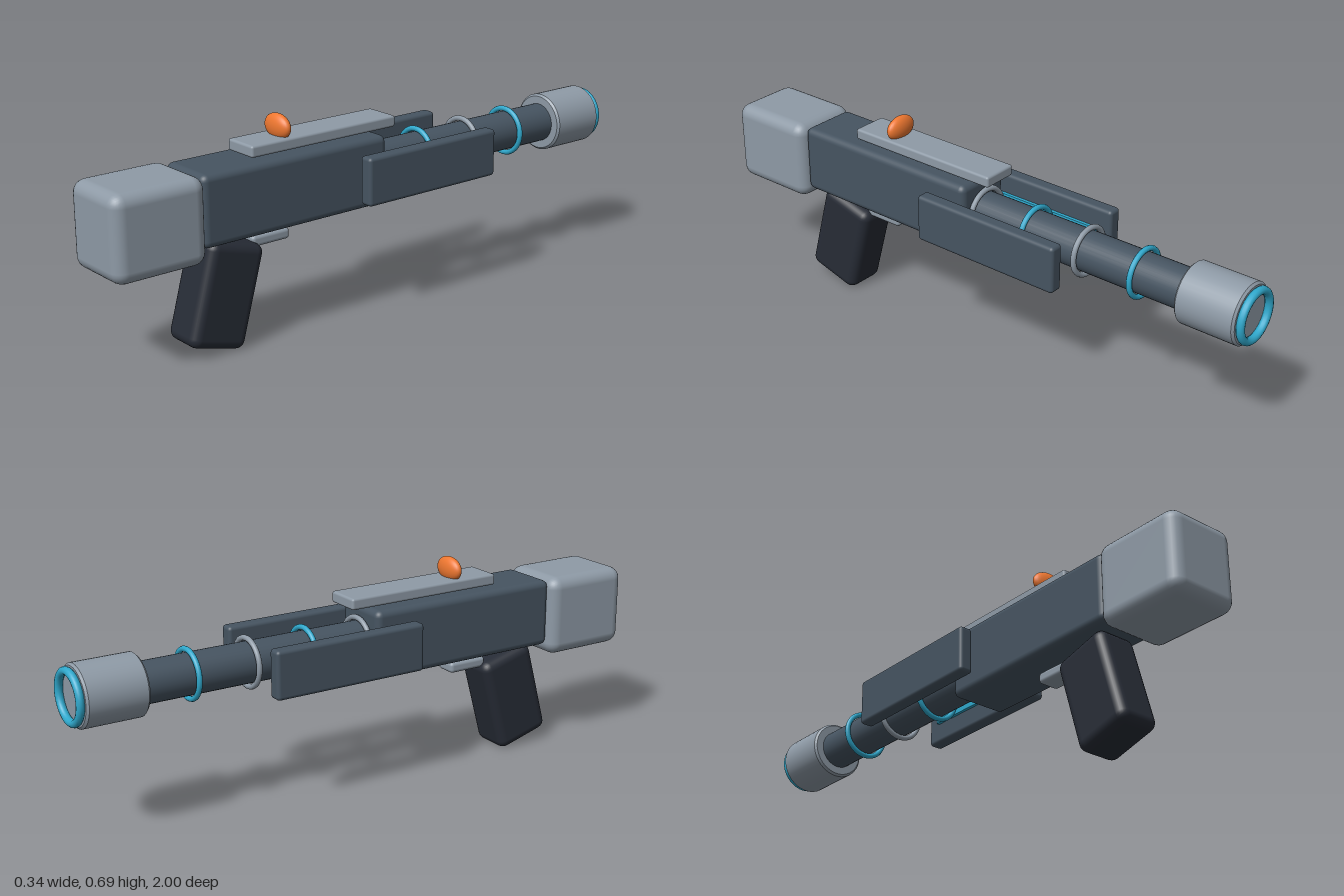
import * as THREE from 'three';
import { RoundedBoxGeometry } from 'three/addons/geometries/RoundedBoxGeometry.js';

const paint = (color) => new THREE.MeshStandardMaterial({ color });

export function createModel() {
  const model = new THREE.Group();
  model.name = 'blaster';
  const dark = paint(0x465461), grey = paint(0x8e9aa6), black = paint(0x272c36);
  const cyan = paint(0x2fa8cc), orange = paint(0xee7730);
  const axisY = 0.467;

  function add(name, geometry, material, x, y, z) {
    const mesh = new THREE.Mesh(geometry, material);
    mesh.name = name;
    mesh.position.set(x, y, z);
    model.add(mesh);
    return mesh;
  }
  const box = (w, h, d, r) => new RoundedBoxGeometry(w, h, d, 3, r);

  // Stock, body and tilted grip
  add('stock', box(0.246, 0.268, 0.31, 0.04), grey, 0, 0.453, 0.845);
  add('body', box(0.2, 0.224, 0.69, 0.022), dark, 0, 0.469, 0.347);
  add('grip', box(0.146, 0.33, 0.2, 0.03), black, 0, 0.18, 0.59).rotation.x = -0.27;
  add('trigger', box(0.075, 0.036, 0.14, 0.012), grey, 0, 0.318, 0.408);

  // Top rail with its sight bead
  add('topRail', box(0.122, 0.037, 0.556, 0.008), grey, 0, 0.606, 0.213);
  add('sightBead', new THREE.SphereGeometry(1, 32, 20), orange, 0, 0.65, 0.35)
    .scale.set(0.058, 0.04, 0.024);

  // Barrel
  const barrel = new THREE.CylinderGeometry(0.065, 0.065, 0.88, 32).rotateX(Math.PI / 2);
  add('barrel', barrel, dark, 0, axisY, -0.38);

  // Muzzle with softened rims, its profile running along the barrel
  const profile = [[0, -0.1], [0.091, -0.1], [0.091, -0.1], [0.098, -0.093], [0.098, -0.093],
    [0.098, 0.093], [0.098, 0.093], [0.091, 0.1], [0.091, 0.1], [0, 0.1]];
  const muzzle = new THREE.LatheGeometry(profile.map(([r, h]) => new THREE.Vector2(r, h)), 40);
  add('muzzle', muzzle.rotateX(Math.PI / 2), grey, 0, axisY, -0.876);
  add('muzzleRing', new THREE.TorusGeometry(0.077, 0.013, 12, 40), cyan, 0, axisY, -0.987);

  // Alternating rings along the barrel
  [-0.01, -0.207, -0.408, -0.61].forEach((z, i) => {
    add('barrelRing', new THREE.TorusGeometry(0.076, 0.009, 10, 40), i % 2 ? cyan : grey, 0, axisY, z);
  });

  // Side panels, each with a thin light strip inside
  for (const [side, sign] of [['left', 1], ['right', -1]]) {
    add(side + 'Panel', box(0.048, 0.156, 0.532, 0.012), dark, sign * 0.147, 0.465, -0.135);
    add(side + 'LightStrip', new THREE.BoxGeometry(0.014, 0.024, 0.42), cyan, sign * 0.119, 0.465, -0.138);
  }
  return model;
}
